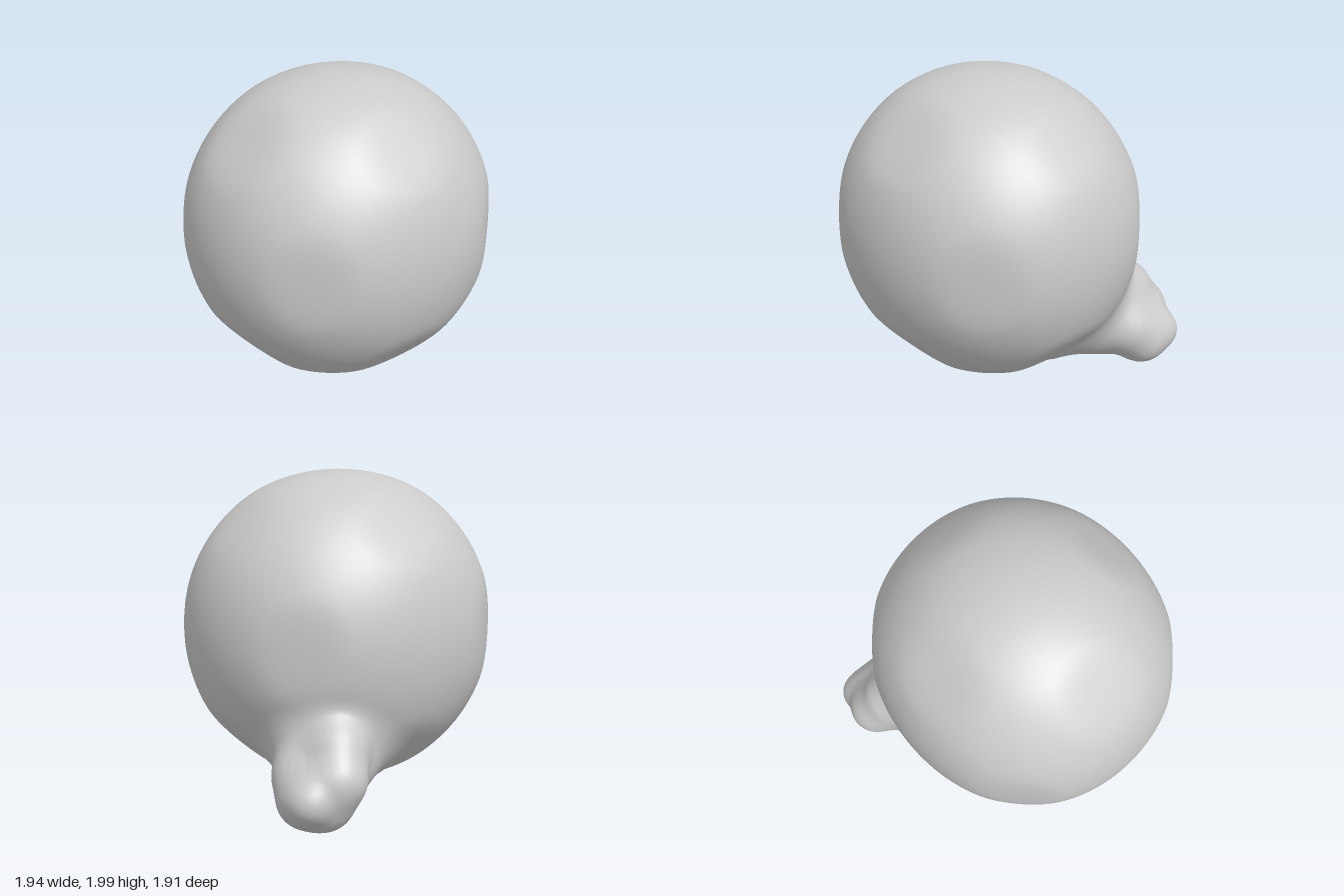
import * as THREE from 'three';
import { mergeVertices } from 'three/addons/utils/BufferGeometryUtils.js';

const V = (x, y, z) => new THREE.Vector3(x, y, z);
const CENTRE = V(0, 1.03, 0.05);
const DEPTH = 0.94; // the ball is slightly shallower front to back

// polynomial smooth union / intersection of signed distances
const smin = (a, b, k) => {
  const h = Math.max(k - Math.abs(a - b), 0) / k;
  return Math.min(a, b) - h * h * k * 0.25;
};
const smax = (a, b, k) => -smin(-a, -b, k);

// Ball with broad domed faces and slightly flattened slanted edges
const bodyDistance = (p) => {
  const q = p.clone().sub(CENTRE);
  q.z /= DEPTH;
  const x = Math.abs(q.x), y = Math.abs(q.y), z = Math.abs(q.z);
  const s = Math.SQRT1_2;
  const xy = q.x > 0 && q.y > 0 ? 0.98 : 0.96;
  let d = q.length() - 0.988;
  for (const cut of [
    Math.hypot(x + 0.33, y, z) - 1.303,
    Math.hypot(x, y + 0.33, z) - 1.303,
    Math.hypot(x, y, z + 0.33) - 1.303,
    (x + y) * s - xy, (y + z) * s - 0.966, (x + z) * s - 0.966,
  ]) d = smax(d, cut, 0.04);
  return d;
};

// Knob: lumps of [centre, radius] around a broad tapering root
const LUMPS = [
  [V(0.70, 0.21, -0.66), 0.18],
  [V(0.60, 0.17, -0.70), 0.155],
  [V(0.56, 0.33, -0.77), 0.175],
  [V(0.75, 0.23, -0.77), 0.12],
  [V(0.50, 0.47, -0.67), 0.19],
  [V(0.67, 0.31, -0.55), 0.17],
];
const ROOT = V(0.36, 0.45, -0.37), TIP = V(0.62, 0.25, -0.68);

const knobDistance = (p) => {
  const axis = TIP.clone().sub(ROOT);
  const t = THREE.MathUtils.clamp(p.clone().sub(ROOT).dot(axis) / axis.lengthSq(), 0, 1);
  let d = p.distanceTo(axis.multiplyScalar(t).add(ROOT)) - THREE.MathUtils.lerp(0.4, 0.22, t);
  for (const [c, r] of LUMPS) d = smin(d, p.distanceTo(c) - r, 0.06);
  return d;
};

const surface = (p) => smin(bodyDistance(p), knobDistance(p), 0.12);

// Distance from the centre to the skin along a direction
function reach(dir) {
  let r = 1.6;
  for (let i = 0; i < 150; i++) {
    const d = surface(dir.clone().multiplyScalar(r).add(CENTRE));
    r -= d * 0.85;
    if (Math.abs(d) < 0.00002) break;
  }
  return r;
}

export function createModel() {
  const group = new THREE.Group();
  group.name = 'knobbedBall';

  // Sphere whose pole points at the knob, with rings crowded towards it
  const geo = new THREE.SphereGeometry(1, 128, 144);
  const pos = geo.attributes.position;
  const turn = new THREE.Quaternion().setFromUnitVectors(
    V(0, 1, 0), V(0.64, -0.79, -0.76).normalize());
  const dir = V(0, 0, 0);
  for (let i = 0; i < pos.count; i++) {
    dir.fromBufferAttribute(pos, i);
    const theta = Math.acos(THREE.MathUtils.clamp(dir.y, -1, 1));
    const bent = Math.PI * Math.pow(theta / Math.PI, 1.4);
    const around = Math.atan2(dir.z, dir.x);
    dir.set(Math.sin(bent) * Math.cos(around), Math.cos(bent), Math.sin(bent) * Math.sin(around));
    dir.applyQuaternion(turn).normalize();
    dir.multiplyScalar(reach(dir)).add(CENTRE);
    pos.setXYZ(i, dir.x, dir.y, dir.z);
  }
  geo.deleteAttribute('uv');
  geo.deleteAttribute('normal');
  const skin = mergeVertices(geo, 1e-5);
  skin.computeVertexNormals();

  const mesh = new THREE.Mesh(skin, new THREE.MeshStandardMaterial({ color: 0xcccccc }));
  mesh.name = 'bodyWithKnob';
  group.add(mesh);
  return group;
}
